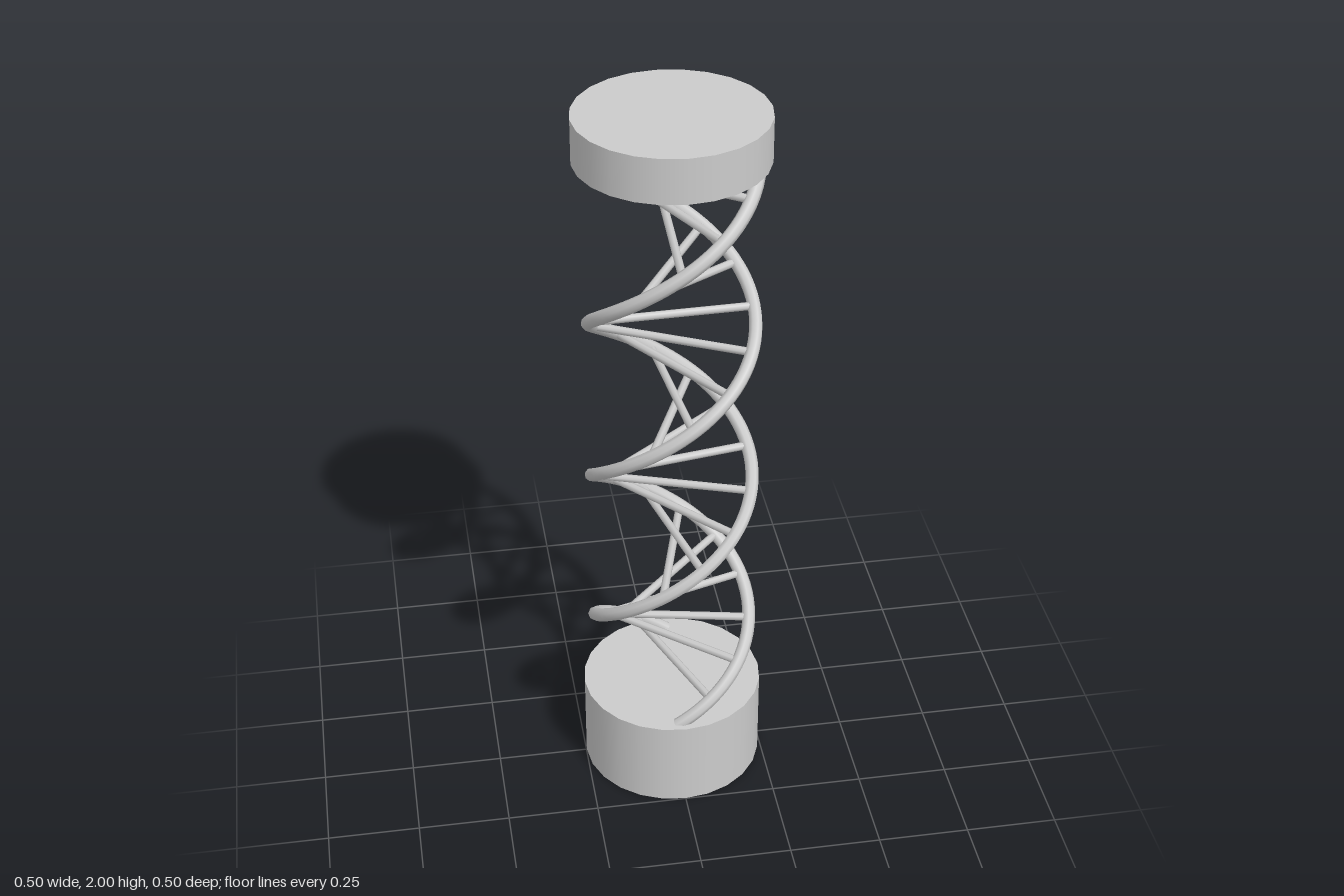
import * as THREE from 'three';

const RADIUS = 0.215;              // helix radius
const PITCH = 0.94;                // height of one full turn
const START = 0.258;               // height where the first strand faces +z
const BASE_TOP = 0.255, CAP_BOTTOM = 1.88;

const material = new THREE.MeshStandardMaterial({ color: 0xcccccc });

// point on a right-handed strand at height y
function strandPoint(y, phase) {
  const a = (2 * Math.PI * (y - START)) / PITCH + phase;
  return new THREE.Vector3(RADIUS * Math.sin(a), y, RADIUS * Math.cos(a));
}

class StrandCurve extends THREE.Curve {
  constructor(phase) {
    super();
    this.phase = phase;
  }
  getPoint(t, target = new THREE.Vector3()) {
    const y = THREE.MathUtils.lerp(BASE_TOP - 0.01, CAP_BOTTOM + 0.01, t);
    return target.copy(strandPoint(y, this.phase));
  }
}

export function createModel() {
  const model = new THREE.Group();
  model.name = 'doubleHelixColumn';

  const add = (geometry, name, parent = model) => {
    const mesh = new THREE.Mesh(geometry, material);
    mesh.name = name;
    parent.add(mesh);
    return mesh;
  };

  // round end blocks
  const disc = (name, y0, y1) => {
    add(new THREE.CylinderGeometry(0.249, 0.249, y1 - y0, 24), name).position.y = (y0 + y1) / 2;
  };
  disc('base', 0, BASE_TOP);
  disc('topCap', CAP_BOTTOM, 2);

  // two opposite strands
  [0, Math.PI].forEach((phase, i) => {
    add(new THREE.TubeGeometry(new StrandCurve(phase), 120, 0.018, 8), i ? 'strandB' : 'strandA');
  });

  // rungs joining the strands
  const rungs = new THREE.Group();
  rungs.name = 'rungs';
  model.add(rungs);
  const rungGeometry = new THREE.CylinderGeometry(0.011, 0.011, 2 * RADIUS, 8);
  const up = new THREE.Vector3(0, 1, 0);
  for (let i = 0; i < 21; i++) {
    const y = 0.313 + i * 0.075;
    const rung = add(rungGeometry, `rung${i + 1}`, rungs);
    rung.position.y = y;
    const direction = strandPoint(y, 0).setY(0).normalize();
    rung.quaternion.setFromUnitVectors(up, direction);
  }

  return model;
}
